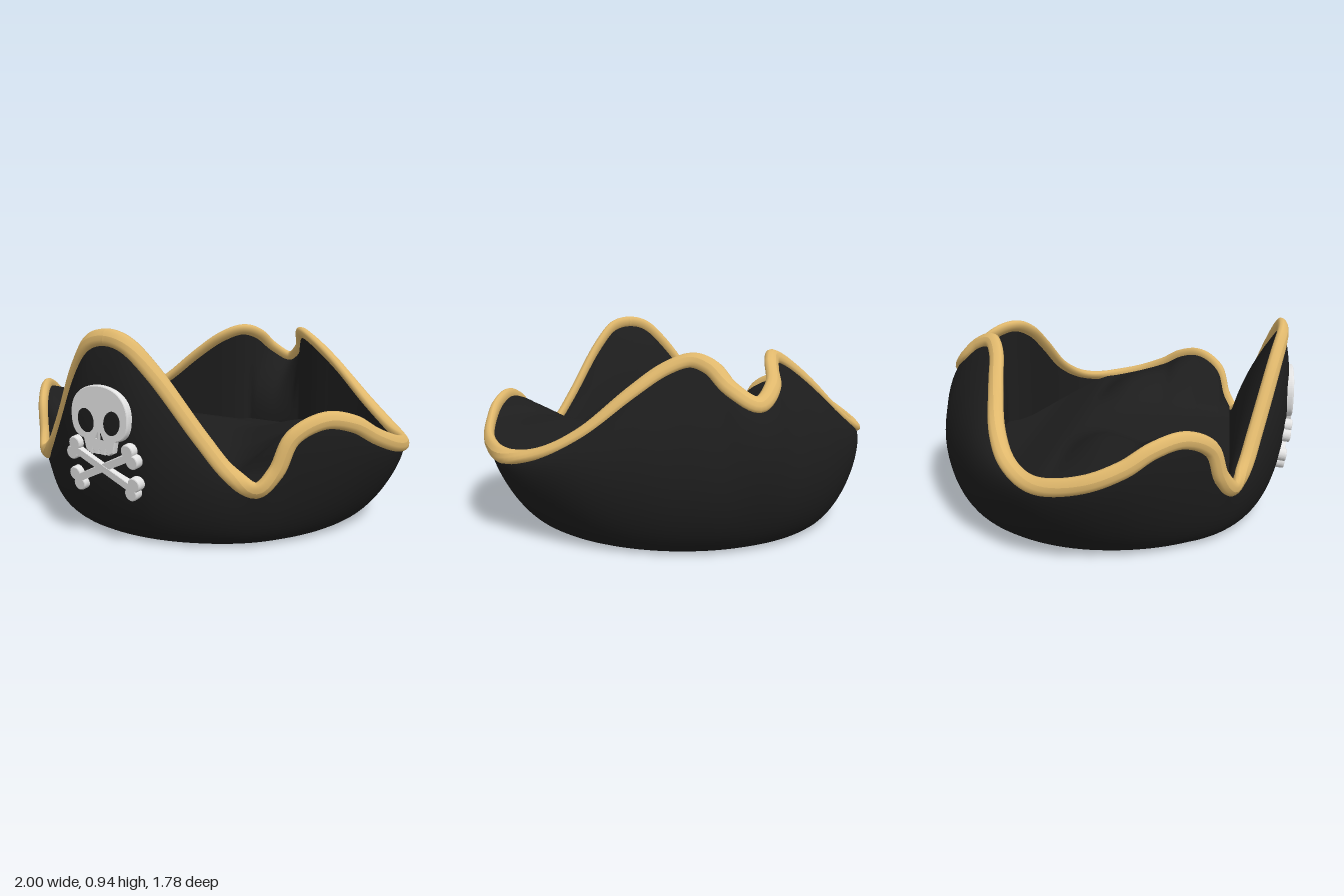
import * as THREE from 'three';

const { smoothstep, clamp } = THREE.MathUtils;

// Half of the hat from front centre round its left side to back centre:
// rim x,y,z | belly x,y,z
const KEYS = [
  [0, 0.90, 0.83, 0, 0.33, 0.855],
  [0.10, 0.875, 0.825, 0.10, 0.32, 0.85],
  [0.21, 0.765, 0.79, 0.21, 0.28, 0.828],
  [0.40, 0.49, 0.71, 0.38, 0.20, 0.745],
  [0.51, 0.35, 0.665, 0.49, 0.15, 0.67],
  [0.61, 0.285, 0.62, 0.58, 0.12, 0.585],
  [0.67, 0.36, 0.565, 0.64, 0.14, 0.53],
  [0.72, 0.50, 0.52, 0.69, 0.18, 0.48],
  [0.81, 0.565, 0.41, 0.77, 0.20, 0.38],
  [0.89, 0.54, 0.29, 0.83, 0.20, 0.27],
  [0.943, 0.475, 0.18, 0.87, 0.19, 0.16],
  [0.975, 0.415, 0.02, 0.89, 0.17, 0],
  [0.94, 0.385, -0.18, 0.865, 0.17, -0.20],
  [0.81, 0.42, -0.33, 0.78, 0.20, -0.39],
  [0.65, 0.515, -0.425, 0.67, 0.23, -0.54],
  [0.45, 0.68, -0.485, 0.48, 0.26, -0.695],
  [0.30, 0.785, -0.525, 0.34, 0.27, -0.78],
  [0.20, 0.825, -0.58, 0.235, 0.27, -0.83],
  [0.145, 0.80, -0.66, 0.155, 0.26, -0.852],
  [0.10, 0.72, -0.755, 0.08, 0.25, -0.862],
  [0, 0.655, -0.81, 0, 0.24, -0.865],
];

// Closed mirrored curve whose parameter steps match the key rows
function loopCurve(pick) {
  const half = KEYS.map(pick);
  const other = half.slice(1, -1).reverse().map((p) => new THREE.Vector3(-p.x, p.y, p.z));
  return new THREE.CatmullRomCurve3([...half, ...other], true);
}

// Grid surface from a point function, facing the side where i runs right and j runs up
function gridSurface(ni, nj, fn) {
  const pos = [], idx = [], w = ni + 1;
  for (let j = 0; j <= nj; j++)
    for (let i = 0; i <= ni; i++) pos.push(...fn(i / ni, j / nj).toArray());
  for (let j = 0; j < nj; j++)
    for (let i = 0; i < ni; i++) {
      const a = j * w + i;
      idx.push(a, a + 1, a + w + 1, a, a + w + 1, a + w);
    }
  const g = new THREE.BufferGeometry();
  g.setAttribute('position', new THREE.Float32BufferAttribute(pos, 3));
  g.setIndex(idx);
  g.computeVertexNormals();
  return g;
}

export function createModel() {
  const model = new THREE.Group();
  const mat = (name, color) => {
    const m = new THREE.MeshStandardMaterial({ color });
    m.name = name;
    return m;
  };
  const felt = mat('black felt', 0x1d1d1d);
  felt.side = THREE.DoubleSide;
  const gold = mat('gold braid', 0xe0b86c);
  const bone = mat('bone grey', 0xe2e2e2);
  const add = (name, geo, material, parent = model) => {
    const m = new THREE.Mesh(geo, material);
    m.name = name;
    parent.add(m);
    return m;
  };

  const rim = loopCurve((k) => new THREE.Vector3(k[0], k[1], k[2]));
  const belly = loopCurve((k) => new THREE.Vector3(k[3], k[4], k[5]));

  // Brim section: leaves the base level, passes the belly and ends at the rim
  const section = (u) => {
    const r = rim.getPoint(u), m = belly.getPoint(u);
    const a = Math.atan2(m.x, m.z), out = new THREE.Vector3(Math.sin(a), 0, Math.cos(a));
    const b = out.clone().multiplyScalar(0.7), c1 = out.multiplyScalar(0.825);
    const c2 = m.multiplyScalar(8).sub(b).sub(r).addScaledVector(c1, -3).divideScalar(3);
    return new THREE.CubicBezierCurve3(b, c1, c2, r);
  };
  add('brim', gridSurface(200, 22, (u, v) => section(u).getPoint(v)), felt);

  // Flat underside
  add('underside', new THREE.CircleGeometry(0.7, 96).rotateX(Math.PI / 2), felt);

  // Floor height on the centre line: climbs from the front to a ridge, then dips behind it
  const floorY = (z) => (z > -0.13 ? 0.29 + (0.6 - z) * 0.137 : 0.39 - 0.1 * smoothstep(-z, 0.13, 0.48));

  // Foot of the inner wall: below the rim at front and back, on the rim at the sides
  const foot = (r) => {
    const z = clamp(r.z, -0.62, 0.6);
    const walled = r.z > 0.6 || r.z < -0.18;
    return new THREE.Vector3(r.x, walled ? Math.min(r.y, floorY(z)) : r.y, z);
  };
  add('innerWall', gridSurface(200, 12, (u, v) => {
    const r = rim.getPoint(u), f = foot(r);
    const c = new THREE.Vector3(f.x, (r.y + f.y) / 2, f.z);
    return new THREE.QuadraticBezierCurve3(r, c, f).getPoint(v);
  }), felt);

  // Crown top: a trough narrowing towards the ridge, with shoulders at the sides
  add('crownTop', gridSurface(48, 140, (t, v) => {
    const f = foot(rim.getPoint(v / 2)), c = floorY(f.z);
    const k = 2 * t - 1, X = Math.max(f.x, 1e-4);
    const w = 0.36 + 0.55 * Math.max(f.z, 0);
    const s = smoothstep(Math.abs(k) * X, Math.min(w - 0.25, 0.6 * X), Math.min(w + 0.25, X));
    const lift = 0.1 * Math.sin(Math.PI * clamp((f.z + 0.14) / 0.36, 0, 1));
    return new THREE.Vector3(X * k, c + (f.y - c) * s + lift * s * (1 - k * k), f.z);
  }), felt);

  // Gold edging: a flattened band that leans with the brim
  add('rimBraid', gridSurface(280, 12, (u, v) => {
    const { v2, v3 } = section(u);
    const along = rim.getPoint((u + 0.001) % 1).sub(rim.getPoint((u + 0.999) % 1)).normalize();
    const out = along.clone().cross(v3.clone().sub(v2)).normalize();
    const up = out.clone().cross(along);
    const a = v * Math.PI * 2;
    return v3.clone().addScaledVector(out, 0.025 * Math.cos(a)).addScaledVector(up, 0.038 * Math.sin(a));
  }), gold);

  // Skull and crossbones badge
  const badge = new THREE.Group();
  badge.name = 'badge';
  model.add(badge);
  const plate = (name, shape, z, depth) => {
    const g = new THREE.ExtrudeGeometry(shape, {
      depth, curveSegments: 20, bevelEnabled: true, bevelThickness: 0.008, bevelSize: 0.005, bevelSegments: 2,
    });
    return add(name, g.translate(0, 0, z), bone, badge);
  };

  const skull = new THREE.Shape();
  skull.moveTo(0, 0.70);
  skull.bezierCurveTo(0.10, 0.70, 0.152, 0.645, 0.152, 0.575);
  skull.bezierCurveTo(0.152, 0.52, 0.14, 0.485, 0.085, 0.475);
  skull.lineTo(0.072, 0.425);
  // teeth
  for (const x of [0.036, 0, -0.036]) {
    skull.lineTo(x + 0.011, 0.413);
    skull.lineTo(x, 0.442);
    skull.lineTo(x - 0.011, 0.413);
  }
  skull.lineTo(-0.072, 0.425);
  skull.lineTo(-0.085, 0.475);
  skull.bezierCurveTo(-0.14, 0.485, -0.152, 0.52, -0.152, 0.575);
  skull.bezierCurveTo(-0.152, 0.645, -0.10, 0.70, 0, 0.70);
  for (const s of [-1, 1]) {
    const eye = new THREE.Path();
    eye.absellipse(s * 0.072, 0.55, 0.044, 0.053, 0, Math.PI * 2, true, s * -0.35);
    const nostril = new THREE.Path();
    nostril.moveTo(s * 0.008, 0.505);
    nostril.lineTo(s * 0.026, 0.473);
    nostril.lineTo(s * 0.009, 0.475);
    skull.holes.push(eye, nostril);
  }
  plate('skull', skull, 0.85, 0.034);

  // One bone outline with two knobs at each end, used twice
  const boneShape = new THREE.Shape();
  const L = 0.162, R = 0.027, A = Math.PI;
  boneShape.moveTo(-L, -0.016);
  boneShape.lineTo(L, -0.016);
  boneShape.absarc(L + 0.01, -0.024, R, A * 0.9, A * 2.35, false);
  boneShape.absarc(L + 0.01, 0.024, R, -A * 0.35, A * 1.1, false);
  boneShape.lineTo(-L, 0.016);
  boneShape.absarc(-L - 0.01, 0.024, R, -A * 0.1, A * 1.35, false);
  boneShape.absarc(-L - 0.01, -0.024, R, A * 0.65, A * 2.1, false);
  // the bones lean back at the foot with the brim
  const bones = new THREE.Group();
  bones.name = 'crossbones';
  bones.position.set(0, 0.345, 0.878);
  bones.rotation.x = 0.12;
  badge.add(bones);
  for (const s of [-1, 1]) {
    const b = plate(s < 0 ? 'fallingBone' : 'risingBone', boneShape, s < 0 ? -0.034 : -0.036, 0.028);
    b.rotation.z = s * 0.43;
    bones.add(b);
  }
  return model;
}
